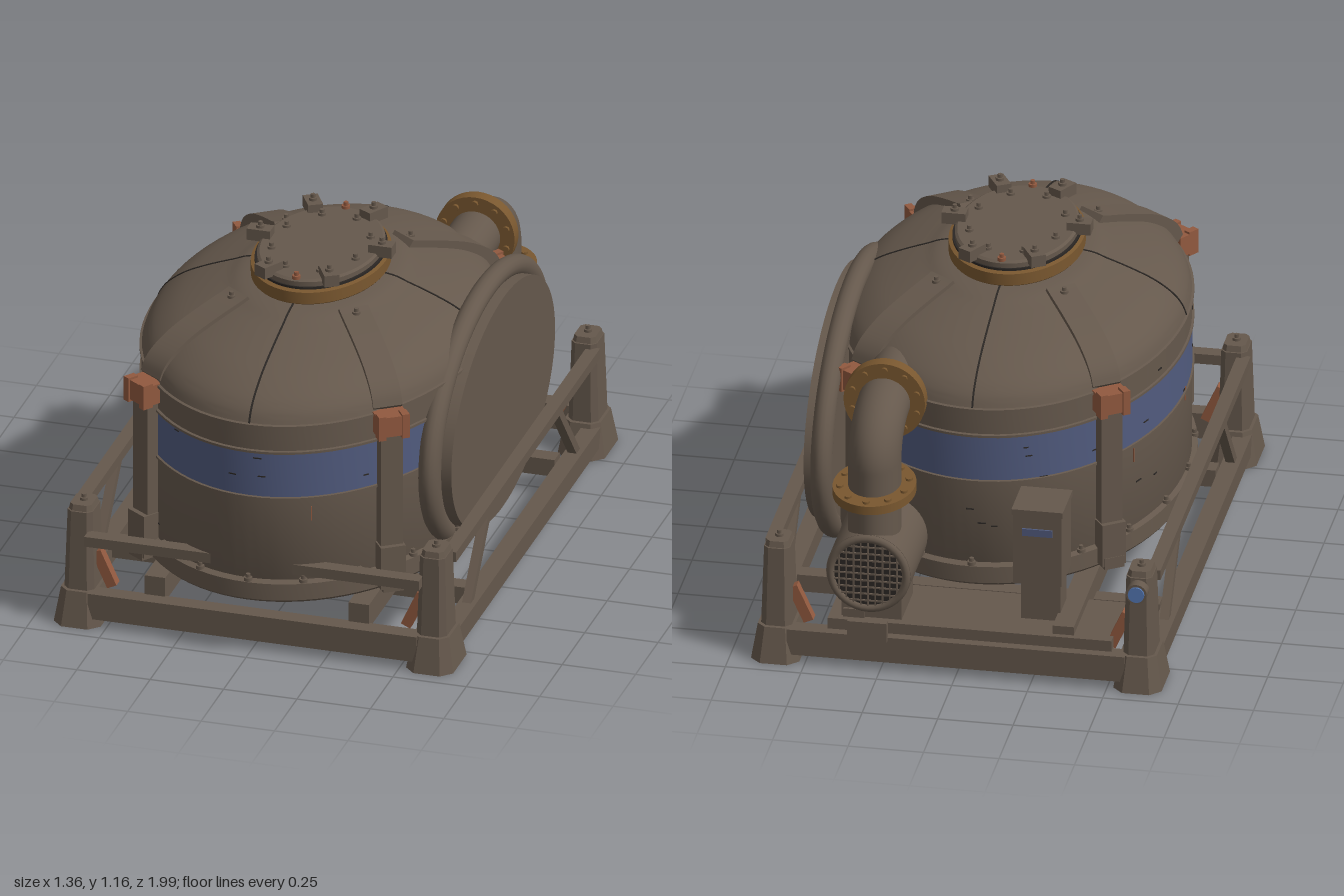
import * as THREE from 'three';
import { toCreasedNormals } from 'three/addons/utils/BufferGeometryUtils.js';

const mat = (name, color, side = THREE.FrontSide) => {
  const m = new THREE.MeshStandardMaterial({ color, side });
  m.name = name;
  return m;
};

export function createModel() {
  const steel = mat('weathered steel', 0x65584c, THREE.DoubleSide);
  const blue = mat('blue paint', 0x515b7e, THREE.DoubleSide);
  const copper = mat('rusty copper', 0x91593f);
  const brass = mat('tarnished brass', 0x79572f);
  const dark = mat('dark gap', 0x2b2724);
  const lens = mat('blue glass', 0x5478b4);

  const root = new THREE.Group();
  const add = (name, geo, material, x = 0, y = 0, z = 0, parent = root) => {
    const m = new THREE.Mesh(geo, material);
    m.name = name;
    m.position.set(x, y, z);
    parent.add(m);
    return m;
  };
  const box = (name, material, w, h, d, x, y, z, parent) =>
    add(name, new THREE.BoxGeometry(w, h, d), material, x, y, z, parent);
  const cyl = (r, h, n = 40) => new THREE.CylinderGeometry(r, r, h, n);
  const bolt = (x, y, z, parent = root, material = steel) => {
    add('bolt', cyl(0.014, 0.012, 12), material, x, y, z, parent);
    return add('boltHead', cyl(0.008, 0.024, 6), material, x, y + 0.006, z, parent);
  };
  // straight bar between two points
  const bar = (name, material, a, b, w, d) => {
    const p = new THREE.Vector3(...a), q = new THREE.Vector3(...b);
    const m = box(name, material, w, d, p.distanceTo(q), 0, 0, 0);
    m.position.copy(p).add(q).multiplyScalar(0.5);
    m.lookAt(q);
  };
  // chamfered block that narrows upwards
  const taper = (w, d, h, top, c) => {
    const a = w / 2, b = d / 2;
    const s = new THREE.Shape([[a - c, -b], [a, c - b], [a, b - c], [a - c, b], [c - a, b], [-a, b - c], [-a, c - b], [c - a, -b]]
      .map(p => new THREE.Vector2(...p)));
    const g = new THREE.ExtrudeGeometry(s, { depth: h, bevelEnabled: false }).rotateX(-Math.PI / 2);
    const p = g.attributes.position;
    for (let i = 0; i < p.count; i++) {
      const k = p.getY(i) > h / 2 ? top : 1;
      p.setX(i, p.getX(i) * k);
      p.setZ(i, p.getZ(i) * k);
    }
    g.computeVertexNormals();
    return g;
  };

  // ---- oval tank ----
  const K = 1.43, CZ = 0.165;
  const lathe = (name, pts, material, k = K) => {
    const g = new THREE.LatheGeometry(pts.map(p => new THREE.Vector2(...p)), 80);
    const m = add(name, toCreasedNormals(g, 0.6), material, 0, 0, CZ);
    m.scale.z = k;
    return m;
  };
  const dome = new THREE.SplineCurve([[0.56, 0.83], [0.545, 0.868], [0.515, 0.905], [0.46, 0.945], [0.39, 0.978], [0.3, 1.012], [0.22, 1.036], [0, 1.05]]
    .map(p => new THREE.Vector2(...p))).getPoints(36);
  lathe('tankLower', [[0, 0.2], [0.55, 0.2], [0.56, 0.22], [0.56, 0.57]], steel);
  lathe('baseFlange', [[0.545, 0.2], [0.57, 0.2], [0.578, 0.21], [0.578, 0.268], [0.555, 0.275]], steel);
  lathe('paintedBand', [[0.561, 0.57], [0.561, 0.73]], blue);
  lathe('tankUpper', [[0.56, 0.73], [0.56, 0.83]], steel);
  lathe('tankDome', dome.map(p => [p.x, p.y]), steel);
  for (const y of [0.567, 0.733, 0.826])
    lathe('tankHoop', [[0.558, y - 0.006], [0.567, y - 0.004], [0.567, y + 0.004], [0.558, y + 0.006]], steel);
  const onTank = (m, a, r = 0.56) => {
    m.position.x = r * Math.cos(a);
    m.position.z = CZ + K * r * Math.sin(a);
    m.rotation.y = Math.atan2(K * Math.cos(a), Math.sin(a));
  };
  for (let i = 0; i < 20; i++) {
    const a = i / 20 * Math.PI * 2;
    bolt(0.568 * Math.cos(a), 0.275, CZ + K * 0.568 * Math.sin(a));
  }
  // wear marks
  let seed = 7;
  const rnd = () => (seed = (seed * 16807) % 2147483647) / 2147483647;
  for (let i = 0; i < 50; i++) {
    const tall = i % 8 === 0;
    const m = box('wearMark', tall ? copper : dark, tall ? 0.003 : 0.015 + rnd() * 0.02, tall ? 0.05 : 0.004, 0.005, 0, 0.3 + rnd() * 0.5, 0);
    onTank(m, rnd() * Math.PI * 2, 0.5605);
  }

  // ribbons that follow the dome
  const ribbon = (name, a, r0, width, off, material) => {
    const dx = Math.cos(a), dz = K * Math.sin(a), k = Math.hypot(dx, dz);
    const pts = dome.filter(p => p.x >= r0);
    const outer = pts.map(p => new THREE.Vector2(p.x * k + off * p.x / 0.56, p.y + off));
    const inner = pts.map(p => new THREE.Vector2(p.x * k - 0.03, p.y - 0.03)).reverse();
    const g = new THREE.ExtrudeGeometry(new THREE.Shape([...outer, ...inner]), { depth: width, bevelEnabled: false });
    g.translate(0, 0, -width / 2);
    const m = add(name, toCreasedNormals(g, 0.5), material, 0, 0, CZ);
    m.rotation.y = -Math.atan2(dz, dx);
    return k;
  };
  for (let i = 0; i < 4; i++) {
    ribbon('domeSeam', i * Math.PI / 2, 0.2, 0.006, 0.002, dark);
    const a = Math.PI / 4 + i * Math.PI / 2;
    ribbon('domeStrap', a, 0.27, 0.1, 0.016, steel);
    bolt(0.3 * Math.cos(a), 1.03, CZ + 0.3 * K * Math.sin(a));
    const leg = new THREE.Group();
    leg.name = 'strapLeg';
    leg.position.z = CZ;
    leg.rotation.y = -Math.atan2(K * Math.sin(a), Math.cos(a));
    root.add(leg);
    box('strapUpright', steel, 0.045, 0.58, 0.075, 0.725, 0.51, 0, leg);
    box('strapFoot', steel, 0.07, 0.15, 0.085, 0.73, 0.29, 0, leg);
    box('strapToe', steel, 0.085, 0.04, 0.07, 0.725, 0.225, 0, leg);
    box('strapClamp', copper, 0.075, 0.07, 0.105, 0.73, 0.8, 0, leg);
    for (const s of [-1, 1]) box('clampEar', copper, 0.04, 0.085, 0.025, 0.755, 0.8, s * 0.04, leg);
  }

  // ---- hatch ----
  lathe('hatchNeck', [[0.19, 1.02], [0.212, 1.03], [0.22, 1.04], [0.22, 1.08], [0.19, 1.087]], brass, 1.42);
  lathe('hatchGasket', [[0.208, 1.084], [0.208, 1.092], [0, 1.092]], dark, 1.42);
  lathe('hatchLid', [[0.2, 1.088], [0.2, 1.108], [0.192, 1.114], [0, 1.114]], steel, 1.45);
  for (let i = 0; i < 6; i++) {
    const a = i * Math.PI / 3, x = 0.207 * Math.cos(a), z = CZ + 0.285 * Math.sin(a);
    const c = box('hatchClamp', steel, 0.08, 0.04, 0.05, x, 1.122, z);
    c.rotation.y = -a;
    bolt(x, 1.145, z);
  }
  for (let i = 0; i < 8; i++) {
    const a = Math.PI / 8 + i * Math.PI / 4;
    bolt(0.155 * Math.cos(a), 1.116, CZ + 0.22 * Math.sin(a));
  }
  for (const s of [-1, 1]) bolt(0, 1.118, CZ + s * 0.275, root, copper);

  // ---- oval side cover ----
  const cover = new THREE.Group();
  cover.name = 'sideCover';
  cover.position.set(0.505, 0.543, 0);
  root.add(cover);
  const oval = (name, geo, x, ry, rz) => {
    const m = add(name, geo, steel, x, 0, 0, cover);
    m.scale.set(1, ry, rz);
  };
  oval('coverRim', new THREE.TorusGeometry(1, 0.085, 16, 80).rotateY(Math.PI / 2).scale(0.42, 1, 1), 0, 0.398, 0.607);
  oval('coverBack', cyl(1, 0.05, 80).rotateZ(Math.PI / 2), 0, 0.4, 0.61);
  oval('coverPlate', cyl(1, 0.045, 80).rotateZ(Math.PI / 2), 0.042, 0.376, 0.577);

  // ---- base frame ----
  for (const sx of [-1, 1]) {
    for (const sz of [-1, 1]) {
      const x = 0.6 * sx, z = 0.843 * sz;
      add('cornerFoot', taper(0.16, 0.22, 0.12, 0.76, 0.035), steel, x, 0, z);
      add('cornerPost', taper(0.102, 0.14, 0.275, 0.84, 0.02), steel, x, 0.12, z);
      add('postCap', taper(0.08, 0.105, 0.02, 0.9, 0.015), steel, x, 0.395, z);
      bolt(x, 0.418, z);
      bar('cornerGusset', copper, [0.555 * sx, 0.24, z], [0.5 * sx, 0.12, z], 0.035, 0.035);
      bar('sideBrace', steel, [0.63 * sx, 0.35, 0.38 * sz], [0.63 * sx, 0.09, 0.6 * sz], 0.03, 0.03);
    }
    box('sideSill', steel, 0.06, 0.07, 1.6, 0.632 * sx, 0.07, 0);
    box('sideRail', steel, 0.045, 0.035, 1.6, 0.632 * sx, 0.362, 0);
    box('tankBearer', steel, 0.07, 0.085, 1.76, 0.347 * sx, 0.145, 0);
  }
  for (const s of [-1, 1]) {
    box('endSill', steel, 1.12, 0.09, 0.06, 0, 0.075, 0.903 * s);
    box('crossBeam', steel, 1.2, 0.06, 0.06, 0, 0.09, 0.5 * s);
  }
  box('frontRail', steel, 1.14, 0.035, 0.05, 0, 0.31, 0.915);
  box('rearDeck', steel, 0.94, 0.04, 0.29, -0.04, 0.138, -0.755);

  // ---- control box and rear lamp ----
  box('controlStand', steel, 0.13, 0.15, 0.11, -0.255, 0.23, -0.73);
  box('controlBox', steel, 0.16, 0.26, 0.165, -0.25, 0.43, -0.737);
  box('controlBoxLid', steel, 0.17, 0.02, 0.175, -0.25, 0.56, -0.737);
  box('controlDisplay', blue, 0.1, 0.025, 0.008, -0.25, 0.49, -0.822);
  add('lampHousing', cyl(0.035, 0.06, 24).rotateX(Math.PI / 2), steel, -0.6, 0.355, -0.91);
  add('lampLens', cyl(0.027, 0.008, 24).rotateX(Math.PI / 2), lens, -0.6, 0.355, -0.943);

  // ---- exhaust elbow ----
  const pipe = new THREE.Group();
  pipe.name = 'exhaustPipe';
  pipe.position.x = 0.29;
  pipe.scale.z = 1.32;
  root.add(pipe);
  const v = (y, z) => new THREE.Vector3(0, y, z);
  const path = new THREE.CurvePath();
  path.add(new THREE.LineCurve3(v(0.83, -0.25), v(0.83, -0.485)));
  path.add(new THREE.CubicBezierCurve3(v(0.83, -0.485), v(0.83, -0.556), v(0.775, -0.615), v(0.7, -0.615)));
  path.add(new THREE.LineCurve3(v(0.7, -0.615), v(0.45, -0.615)));
  add('elbowTube', new THREE.TubeGeometry(path, 60, 0.086, 32), steel, 0, 0, 0, pipe);
  add('upperFlange', cyl(0.135, 0.034).rotateX(Math.PI / 2), brass, 0, 0.832, -0.47, pipe);
  add('lowerFlange', cyl(0.135, 0.03), brass, 0, 0.605, -0.618, pipe);
  for (let i = 0; i < 10; i++) {
    const a = (i + 0.5) * Math.PI / 5, c = 0.112 * Math.cos(a), s = 0.112 * Math.sin(a);
    add('flangeBolt', cyl(0.012, 0.05, 8).rotateX(Math.PI / 2), brass, c, 0.832 + s, -0.47, pipe);
    add('flangeBolt', cyl(0.012, 0.046, 8), brass, c, 0.605, -0.618 + s, pipe);
  }

  // ---- vent drum with grille ----
  add('ventDrum', cyl(0.14, 0.3).rotateX(Math.PI / 2), steel, 0.29, 0.345, -0.775);
  add('ventRim', new THREE.TorusGeometry(0.125, 0.014, 10, 40), steel, 0.29, 0.345, -0.925);
  add('ventOpening', cyl(0.115, 0.006).rotateX(Math.PI / 2), dark, 0.29, 0.345, -0.926);
  for (let i = -4; i <= 4; i++) {
    const o = i * 0.024, len = 2 * Math.sqrt(0.115 ** 2 - o * o);
    box('grilleBar', steel, len, 0.005, 0.006, 0.29, 0.345 + o, -0.931);
    box('grilleBar', steel, 0.005, len, 0.006, 0.29 + o, 0.345, -0.931);
  }
  box('ventSaddle', steel, 0.2, 0.09, 0.2, 0.29, 0.195, -0.77);
  box('rearLug', steel, 0.13, 0.07, 0.03, 0.29, 0.145, -0.94);

  return root;
}
